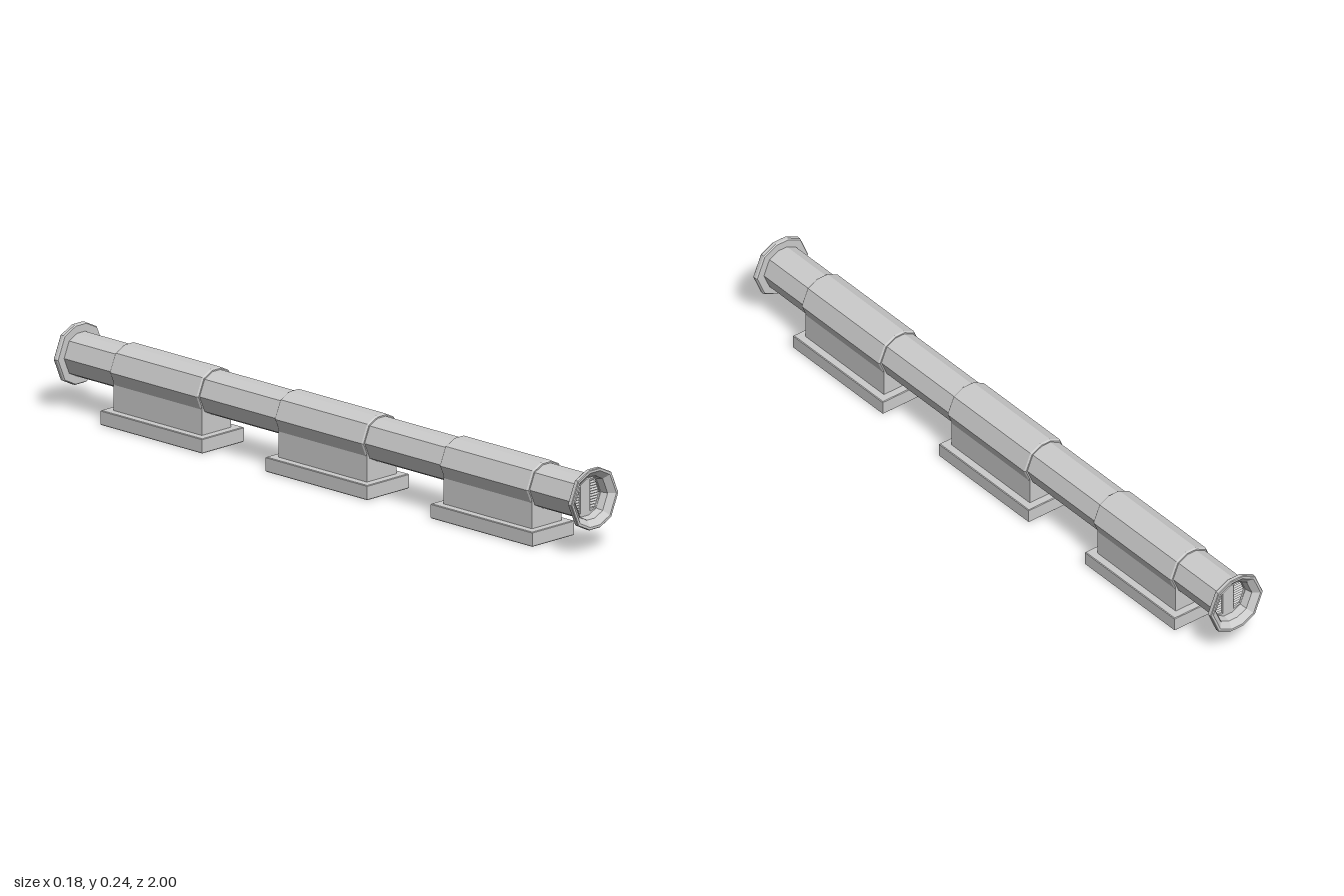
import * as THREE from 'three';

const material = new THREE.MeshStandardMaterial({ color: 0xcccccc, flatShading: true });
const AXIS_Y = 0.154;

// Octagon with the top and bottom corners cut flat (unit size, counterclockwise)
const DUCT = [[1, 0], [0.7, 0.7], [0.23, 0.93], [-0.23, 0.93], [-0.7, 0.7],
  [-1, 0], [-0.7, -0.7], [-0.23, -0.93], [0.23, -0.93], [0.7, -0.7]];
const RECT = [[1, 1], [-1, 1], [-1, -1], [1, -1]];

// Sweeps a section through rings of [scaleX, scaleY, z]
function loft(section, rings) {
  const pos = [];
  const point = (r, j) => {
    const p = section[j % section.length];
    return [p[0] * r[0], p[1] * r[1], r[2]];
  };
  for (let i = 0; i < rings.length - 1; i++) {
    for (let j = 0; j < section.length; j++) {
      const a = point(rings[i], j), b = point(rings[i], j + 1);
      const c = point(rings[i + 1], j + 1), d = point(rings[i + 1], j);
      pos.push(...a, ...b, ...c, ...a, ...c, ...d);
    }
  }
  const g = new THREE.BufferGeometry();
  g.setAttribute('position', new THREE.Float32BufferAttribute(pos, 3));
  g.computeVertexNormals();
  return g;
}

const round = (profile) => loft(DUCT, profile.map(([r, z]) => [r, r, z]));

function add(parent, name, geometry, x = 0, y = 0, z = 0) {
  const mesh = new THREE.Mesh(geometry, material);
  mesh.name = name;
  mesh.position.set(x, y, z);
  parent.add(mesh);
  return mesh;
}

// Flared end with a recessed, louvred grille, facing +z
function ductEnd() {
  const end = new THREE.Group();
  end.name = 'ductEnd';
  add(end, 'flange', round([[0.064, 0.984], [0.089, 0.984], [0.092, 0.988], [0.092, 0.998],
    [0.09, 1], [0.083, 1], [0.065, 0.984], [0.06, 0.96]]));

  const plate = new THREE.Shape(DUCT.map(([x, y]) => new THREE.Vector2(x * 0.064, y * 0.064)));
  for (const s of [1, -1]) {
    const hole = [[0.019, -0.046], [0.043, -0.04], [0.058, 0], [0.043, 0.04], [0.019, 0.046]];
    plate.holes.push(new THREE.Path(hole.map(([x, y]) => new THREE.Vector2(x * s, y))));
  }
  add(end, 'grillePlate', new THREE.ExtrudeGeometry(plate, { depth: 0.006, bevelEnabled: false }), 0, 0, 0.956);

  const slats = 12;
  for (let i = 0; i < slats; i++) {
    const y = -0.046 + 0.092 * (i + 0.5) / slats;
    const width = 2 * Math.min(0.058, 0.061 - Math.abs(y) * 0.42);
    const slat = add(end, 'endSlat', new THREE.BoxGeometry(width, 0.0025, 0.012), 0, y, 0.951);
    slat.rotation.x = 0.8;
  }
  return end;
}

// Sleeve around the duct with a neck and a floor vent below
function outlet() {
  const group = new THREE.Group();
  group.name = 'outlet';
  add(group, 'sleeve', round([[0.064, -0.171], [0.07, -0.171], [0.0735, -0.166],
    [0.0735, 0.166], [0.07, 0.171], [0.064, 0.171]]), 0, AXIS_Y, 0);
  add(group, 'neck', new THREE.BoxGeometry(0.114, 0.085, 0.342), 0, 0.0815, 0);

  // Vent box with a sloping recess on the underside
  const box = add(group, 'ventBox', loft(RECT, [[0.057, 0.172, 0.022], [0.072, 0.187, 0],
    [0.079, 0.194, 0], [0.081, 0.196, 0.002], [0.081, 0.196, 0.04],
    [0.079, 0.194, 0.042], [0.05, 0.165, 0.042]]));
  box.rotation.x = -Math.PI / 2;

  // Underside grille: frame, cross bars and slats
  for (const s of [1, -1]) {
    add(group, 'ventFrameSide', new THREE.BoxGeometry(0.008, 0.006, 0.344), s * 0.054, 0.024, 0);
    add(group, 'ventFrameEnd', new THREE.BoxGeometry(0.114, 0.006, 0.012), 0, 0.024, s * 0.167);
  }
  add(group, 'ventLongBar', new THREE.BoxGeometry(0.018, 0.006, 0.34), 0, 0.024, 0);
  add(group, 'ventCrossBar', new THREE.BoxGeometry(0.11, 0.006, 0.022), 0, 0.024, 0);
  const slats = 32;
  for (let i = 0; i < slats; i++) {
    const z = -0.162 + 0.324 * (i + 0.5) / slats;
    const slat = add(group, 'ventSlat', new THREE.BoxGeometry(0.108, 0.012, 0.0025), 0, 0.031, z);
    slat.rotation.x = 0.75;
  }
  return group;
}

export function createModel() {
  const model = new THREE.Group();
  model.name = 'ventilationDuct';

  add(model, 'ductTube', round([[0.066, -0.99], [0.066, 0.99]]), 0, AXIS_Y, 0);

  for (const turn of [0, Math.PI]) {
    const end = ductEnd();
    end.position.y = AXIS_Y;
    end.rotation.y = turn;
    model.add(end);
  }

  for (const z of [0.642, 0.005, -0.632]) {
    const part = outlet();
    part.position.z = z;
    model.add(part);
  }
  return model;
}
